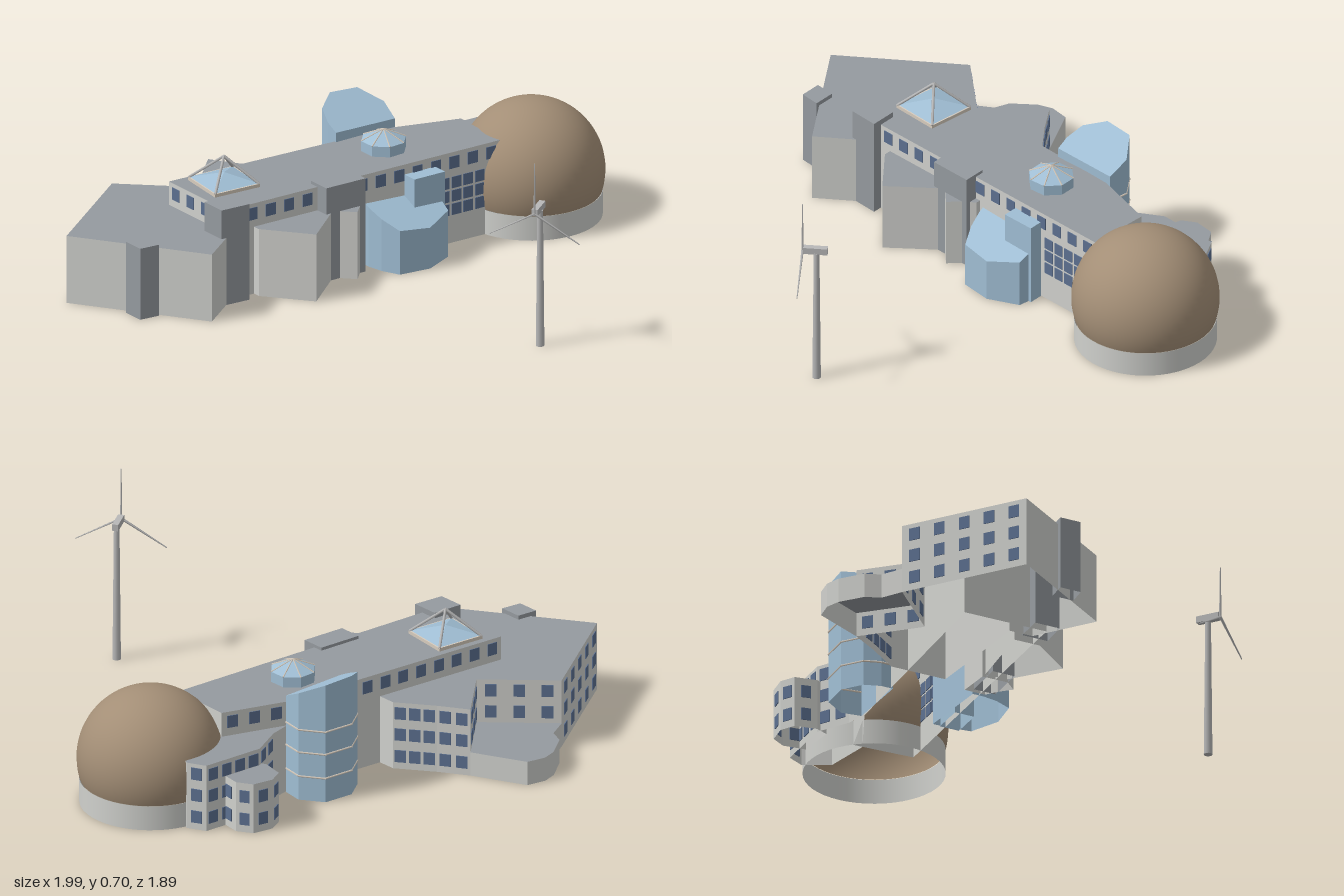
import * as THREE from 'three';

const mat = (name, color) => {
  const m = new THREE.MeshStandardMaterial({ color, side: THREE.DoubleSide });
  m.name = name;
  return m;
};

export function createModel() {
  const wallMat = mat('pale wall', 0xd0d1cd);
  const roofMat = mat('grey roof', 0x959a9f);
  const glassMat = mat('blue glass', 0xa0bed4);
  const windowMat = mat('window blue', 0x5c7090);
  const domeMat = mat('bronze dome', 0xa38e76);
  const trimMat = mat('cream trim', 0xd8cdbf);
  const steelMat = mat('grey steel', 0xb8b8b8);

  const model = new THREE.Group();
  model.name = 'observatoryCampus';

  const add = (name, geometry, material, x = 0, y = 0, z = 0, parent = model) => {
    const mesh = new THREE.Mesh(geometry, material);
    mesh.name = name;
    mesh.position.set(x, y, z);
    parent.add(mesh);
    return mesh;
  };
  const faceted = (g) => {
    const flat = g.toNonIndexed();
    flat.computeVertexNormals();
    return flat;
  };

  // Hollow building without a floor, from a plan of [x, z] points; top is a height or a rule of z
  const block = (name, plan, top, roof = roofMat, wall = wallMat) => {
    const shape = new THREE.Shape(plan.map(([x, z]) => new THREE.Vector2(x, -z)));
    const full = new THREE.ExtrudeGeometry(shape, { depth: 1, bevelEnabled: false });
    full.rotateX(-Math.PI / 2);
    const half = full.groups[0].count / 2;
    const g = new THREE.BufferGeometry();
    g.setAttribute('position', new THREE.BufferAttribute(full.attributes.position.array.slice(half * 3), 3));
    const p = g.attributes.position;
    for (let i = 0; i < p.count; i++) {
      const h = typeof top === 'number' ? top : top(p.getZ(i));
      p.setY(i, p.getY(i) > 0.5 ? h : 0);
    }
    g.addGroup(0, half, 0);
    g.addGroup(half, p.count - half, 1);
    g.computeVertexNormals();
    return add(name, g, [roof, wall]);
  };

  // Rows of thin plates on the wall from a to b, a being on the left as seen from outside
  const windows = (name, a, b, cols, rows, w = 0.04, h = 0.045) => {
    const group = new THREE.Group();
    group.name = name;
    const dx = b[0] - a[0], dz = b[1] - a[1];
    const g = new THREE.BoxGeometry(w, h, 0.006);
    for (const y of rows) {
      for (let i = 0; i < cols; i++) {
        const t = (i + 0.5) / cols;
        add('window', g, windowMat, a[0] + dx * t, y, a[1] + dz * t, group)
          .rotation.y = Math.atan2(-dz, dx);
      }
    }
    model.add(group);
  };

  // Round bar between two points
  const bar = (name, a, b, r0, r1, material, sides = 6) => {
    const from = new THREE.Vector3(...a), to = new THREE.Vector3(...b);
    const dir = to.clone().sub(from);
    const mid = from.clone().add(to).multiplyScalar(0.5);
    const m = add(name, new THREE.CylinderGeometry(r1, r0, dir.length(), sides), material, mid.x, mid.y, mid.z);
    m.quaternion.setFromUnitVectors(new THREE.Vector3(0, 1, 0), dir.normalize());
  };

  // Long main hall
  const hall = [[-0.556, -0.187], [0.56, -0.086], [0.572, -0.316], [0.342, -0.4], [-0.556, -0.508]];
  block('mainHall', hall, 0.337);
  const frontZ = (x) => -0.187 + 0.0905 * (x + 0.556);
  windows('hallFrontWindows', [-0.49, frontZ(-0.49)], [0.56, frontZ(0.56)], 14, [0.3]);
  windows('hallFrontGrid', [0.31, frontZ(0.31)], [0.5, frontZ(0.5)], 4, [0.225, 0.175, 0.125], 0.038, 0.042);
  windows('hallBackWindows', hall[3], hall[4], 12, [0.3]);
  windows('hallCornerWindows', hall[2], hall[3], 3, [0.3]);
  windows('hallEndWindows', hall[4], hall[0], 4, [0.3]);

  // Angled wing and low rounded annex behind it
  const floors = [0.048, 0.13, 0.21];
  const wing = [[-1, -0.513], [-0.71, -0.075], [-0.5, -0.21], [-0.5, -0.3], [-0.048, -0.3],
    [-0.048, -0.513], [-0.139, -0.636], [-0.203, -0.737], [-0.385, -0.57], [-0.594, -0.775]];
  block('angledWing', wing, 0.25);
  windows('wingOuterWindows', wing[9], wing[0], 5, floors);
  windows('wingInnerWindows', wing[8], wing[9], 3, floors);
  windows('wingCourtWindows', wing[7], wing[8], 3, floors);
  windows('wingSideWindows', wing[6], wing[7], 2, floors);
  windows('wingCornerWindows', wing[5], wing[6], 3, floors);
  block('lowAnnex', [[-0.594, -0.775], [-0.385, -0.57], [-0.203, -0.737], [-0.294, -0.935],
    [-0.364, -0.95], [-0.417, -0.935], [-0.497, -0.877], [-0.519, -0.823]].map(([x, z]) => [x, z < -0.78 ? z + 0.008 : z]), 0.088);

  // Front bays and stair towers
  block('frontBay', [[-0.445, -0.15], [-0.32, 0.01], [-0.15, -0.115], [-0.15, -0.2], [-0.445, -0.25]], 0.25);
  block('smallBay', [[-0.13, -0.1], [-0.088, -0.055], [-0.045, -0.095], [-0.005, -0.12],
    [-0.005, -0.2], [-0.13, -0.2]], 0.25);
  block('endTower', [[-0.893, -0.32], [-0.893, -0.24], [-0.82, -0.228], [-0.82, -0.31]], 0.265, roofMat, roofMat);
  block('stairTower', [[-0.6, -0.255], [-0.6, -0.16], [-0.49, -0.145], [-0.49, -0.245]], 0.357, roofMat, roofMat);
  block('entranceTower', [[-0.185, -0.19], [-0.185, -0.105], [-0.025, -0.09], [-0.025, -0.175]], 0.348, roofMat, roofMat);

  // Glass halls with sloping tops
  block('frontGlassHall', [[0.01, -0.16], [0.01, -0.117], [0.021, -0.06], [0.05, 0.005], [0.165, 0.027],
    [0.278, -0.016], [0.29, -0.096], [0.29, -0.16]], (z) => 0.165 - 0.47 * z, glassMat, glassMat);
  block('glassLift', [[0.17, -0.14], [0.17, -0.065], [0.295, -0.055], [0.295, -0.13]], 0.3, glassMat, glassMat);
  const tower = [[0.353, -0.406], [0.364, -0.48], [0.31, -0.56], [0.2, -0.572], [0.128, -0.524],
    [0.107, -0.465], [0.107, -0.42]];
  block('rearGlassTower', tower, (z) => 0.448 - 0.5 * (z + 0.572), glassMat, glassMat);
  for (const y of [0.09, 0.18, 0.265]) {
    for (let i = 0; i < tower.length - 1; i++) {
      const [a, b] = [tower[i], tower[i + 1]];
      bar('glassBand', [a[0], y, a[1]], [b[0], y, b[1]], 0.004, 0.004, trimMat, 4);
    }
  }

  // Rear annex beside the dome, with a polygonal bay
  const annex = [[0.572, -0.28], [0.75, -0.3], [0.802, -0.39], [0.77, -0.455], [0.54, -0.476], [0.422, -0.417], [0.342, -0.4]];
  block('rearAnnex', annex, 0.247);
  windows('annexEndWindows', annex[2], annex[3], 1, floors);
  windows('annexBackWindows', annex[3], annex[4], 4, floors);
  windows('annexSideWindows', annex[4], annex[5], 2, floors);
  const bay = [[0.684, -0.44], [0.695, -0.524], [0.663, -0.578], [0.588, -0.593], [0.535, -0.567], [0.519, -0.487], [0.54, -0.44]];
  block('rearBay', bay, 0.185);
  for (let i = 0; i < bay.length - 2; i++) windows('bayWindows', bay[i], bay[i + 1], 1, [0.05, 0.135], 0.035);

  // Dome on its open ring
  const start = Math.acos(-0.075 / 0.255);
  add('dome', new THREE.SphereGeometry(0.255, 48, 28, 0, Math.PI * 2, 0, start), domeMat, 0.74, 0.165, -0.14);
  add('domeRing', new THREE.CylinderGeometry(0.246, 0.246, 0.09, 48, 1, true), wallMat, 0.74, 0.045, -0.14);

  // Square skylight under a steel pyramid frame
  const sx = -0.418, sz = -0.377, turn = Math.PI / 4 - 0.125;
  add('skylightCurb', faceted(new THREE.CylinderGeometry(0.128, 0.128, 0.015, 4)), trimMat, sx, 0.342, sz).rotation.y = turn;
  add('squareSkylight', faceted(new THREE.ConeGeometry(0.122, 0.03, 4, 1, true)), glassMat, sx, 0.365, sz).rotation.y = turn;
  for (let i = 0; i < 4; i++) {
    const t = turn + i * Math.PI / 2;
    bar('skylightStrut', [sx + 0.125 * Math.sin(t), 0.348, sz + 0.125 * Math.cos(t)], [sx, 0.44, sz], 0.005, 0.005, steelMat);
  }

  // Octagonal roof lantern
  const lx = 0.2, lz = -0.275;
  add('lanternWall', faceted(new THREE.CylinderGeometry(0.08, 0.08, 0.04, 8, 1, true)), glassMat, lx, 0.355, lz).rotation.y = Math.PI / 8;
  add('lanternRoof', faceted(new THREE.ConeGeometry(0.08, 0.037, 8, 1, true)), glassMat, lx, 0.3935, lz).rotation.y = Math.PI / 8;
  for (let i = 0; i < 8; i++) {
    const t = (i + 0.5) * Math.PI / 4;
    bar('lanternRib', [lx + 0.08 * Math.sin(t), 0.375, lz + 0.08 * Math.cos(t)], [lx, 0.412, lz], 0.003, 0.003, trimMat, 4);
  }

  // Wind turbine
  bar('turbineMast', [0.046, 0, 0.786], [0.046, 0.505, 0.786], 0.015, 0.01, steelMat, 12);
  add('turbineNacelle', new THREE.BoxGeometry(0.085, 0.024, 0.022), steelMat, 0.04, 0.513, 0.785).rotation.y = 0.58;
  const hub = [0.003, 0.51, 0.81];
  for (let i = 0; i < 3; i++) {
    const t = i * Math.PI * 2 / 3, s = Math.sin(t) * 0.187;
    bar('turbineBlade', hub, [hub[0] + s * 0.555, hub[1] + Math.cos(t) * 0.187, hub[2] + s * 0.832], 0.005, 0.002, steelMat, 4);
  }
  return model;
}
